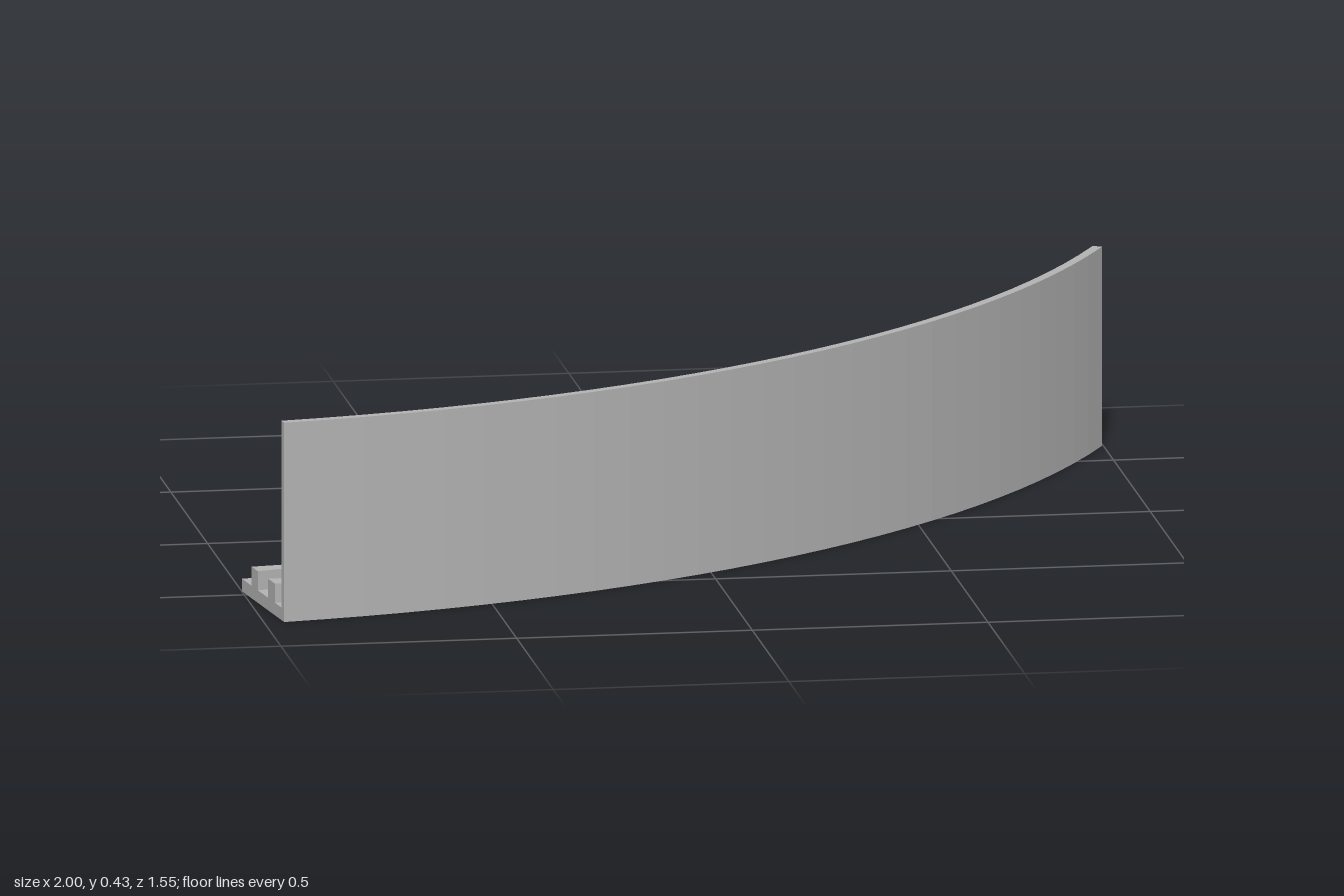
import * as THREE from 'three';

const CX = -1.306, CZ = -1.772;          // centre of the arc in plan
const R_IN = 2.258, R_OUT = 2.567, WALL = 0.021;
const A0 = THREE.MathUtils.degToRad(26.2), A1 = THREE.MathUtils.degToRad(82.2);
const FLOOR_H = 0.027, WALL_H = 0.428, CLIP_H = 0.068, SEGMENTS = 28;

// Extrude a plan outline of [x, z] points upwards from y0 to y1
function slab(name, points, y0, y1, material) {
  const shape = new THREE.Shape(points.map(([x, z]) => new THREE.Vector2(x, -z)));
  const geometry = new THREE.ExtrudeGeometry(shape, { depth: y1 - y0, bevelEnabled: false });
  geometry.rotateX(-Math.PI / 2).translate(0, y0, 0);
  const mesh = new THREE.Mesh(geometry, material);
  mesh.name = name;
  return mesh;
}

// Outline of a curved band between two radii
function band(r0, r1) {
  const inner = [], outer = [];
  for (let i = 0; i <= SEGMENTS; i++) {
    const a = A0 + (A1 - A0) * i / SEGMENTS;
    inner.push([CX + r0 * Math.cos(a), CZ + r0 * Math.sin(a)]);
    outer.unshift([CX + r1 * Math.cos(a), CZ + r1 * Math.sin(a)]);
  }
  return inner.concat(outer);
}

export function createModel() {
  const group = new THREE.Group();
  group.name = 'curvedTrim';
  const grey = new THREE.MeshStandardMaterial({ color: 0xb2b2b2 });
  grey.name = 'grey';

  // Flat base flange and upright curved wall
  group.add(slab('baseFlange', band(R_IN, R_OUT - WALL), 0, FLOOR_H, grey));
  group.add(slab('curvedWall', band(R_OUT - WALL, R_OUT), 0, WALL_H, grey));

  // Dovetail socket: [distance from the end, distance from the inner edge]
  const socket = [
    [0, 0.071], [0.147, 0.071], [0.147, 0.242], [0, 0.242],
    [0, 0.19], [0.114, 0.21], [0.114, 0.098], [0, 0.117],
  ];
  for (const [name, a, side] of [['leftSocket', A0, 1], ['rightSocket', A1, -1]]) {
    const c = Math.cos(a), s = Math.sin(a);
    const outline = socket.map(([t, r]) => [
      CX + (R_IN + r) * c - side * t * s,
      CZ + (R_IN + r) * s + side * t * c,
    ]);
    group.add(slab(name, outline, FLOOR_H - 0.005, CLIP_H, grey));
  }
  return group;
}
